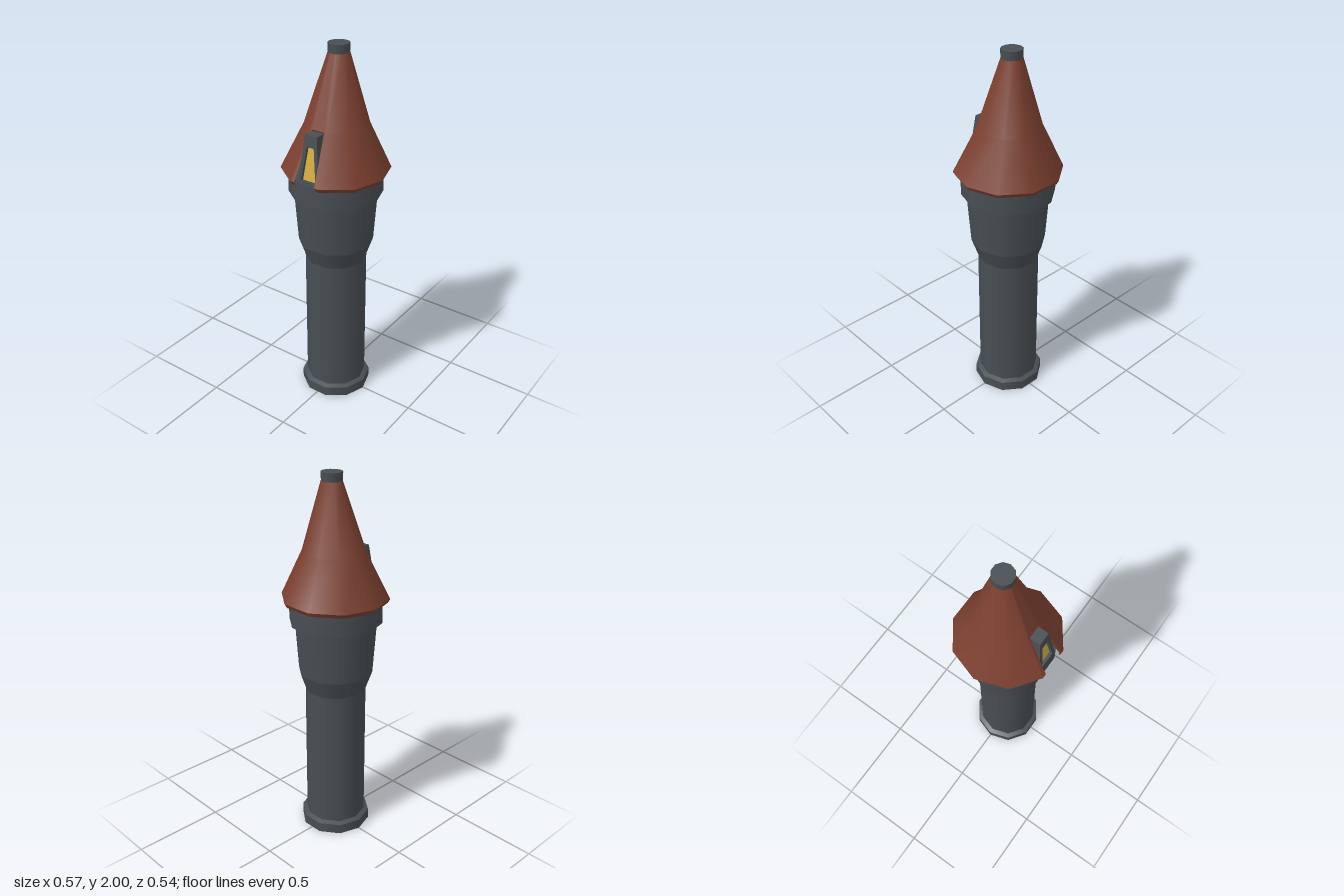
import * as THREE from 'three';

const SIDES = 10;

export function createModel() {
  const mat = (name, color, side = THREE.FrontSide) => {
    const m = new THREE.MeshStandardMaterial({ color, side });
    m.name = name;
    return m;
  };
  const stone = mat('dark stone', 0x484e53, THREE.DoubleSide);
  const tiles = mat('red roof tiles', 0x7c4030, THREE.DoubleSide);
  const glow = mat('yellow window', 0xd6ae40);

  const tower = new THREE.Group();
  tower.name = 'tower';
  const add = (parent, name, geometry, material) => {
    const mesh = new THREE.Mesh(geometry, material);
    mesh.name = name;
    parent.add(mesh);
    return mesh;
  };

  // Ten-sided ring of wall between two heights, with a corner on the x axis
  const band = (name, y0, r0, y1, r1, z = 0, open = true) => {
    const g = new THREE.CylinderGeometry(r1, r0, y1 - y0, SIDES, 1, open, Math.PI / 2);
    g.translate(0, (y0 + y1) / 2, z);
    return add(tower, name, g, stone);
  };
  // Flat ten-sided ring or disc
  const disc = (name, y, inner, outer, up) => {
    const g = new THREE.RingGeometry(inner, outer, SIDES, 1);
    g.rotateX(up ? -Math.PI / 2 : Math.PI / 2).translate(0, y, 0);
    return add(tower, name, g, stone);
  };

  // Foot
  band('footRing', 0, 0.192, 0.055, 0.192);
  band('footChamfer', 0.055, 0.192, 0.065, 0.165);
  band('footInnerWall', 0, 0.168, 0.05, 0.168);
  disc('footRim', 0, 0.168, 0.192, false);
  disc('footFloor', 0.05, 0, 0.168, false);

  // Shaft, flare and upper storey
  band('shaft', 0.06, 0.166, 0.84, 0.165);
  band('flare', 0.84, 0.165, 0.94, 0.2);
  band('upperStorey', 0.94, 0.2, 1.23, 0.22);
  disc('parapetUnderside', 1.222, 0.21, 0.247, false);
  band('parapet', 1.222, 0.247, 1.345, 0.247);
  disc('parapetTop', 1.345, 0, 0.247, true);

  // Chimney cap at the tip, set slightly back
  band('tipCap', 1.93, 0.053, 2, 0.056, -0.024, false);

  // Roof rings: height, radius, z shift, half width of the dormer notch
  const brim = [[1.335, 0.272, 0, 0.063], [1.357, 0.285, 0, 0.063]];
  const slope = [
    [1.357, 0.285, 0, 0.063], [1.6, 0.166, -0.009, 0.035], [1.955, 0.055, -0.024, 0.011],
  ];
  // Ring points run round the decagon, with two extra on the front edge for the notch
  const roofSurface = (rings, notchTiers) => {
    const pos = [], index = [], n = SIDES + 2;
    for (const [y, r, dz, half] of rings) {
      for (let k = 0; k < SIDES; k++) {
        const a = (k * Math.PI * 2) / SIDES;
        pos.push(r * Math.cos(a), y, r * Math.sin(a) + dz);
        if (k === 2) {
          const z = r * Math.cos(Math.PI / SIDES) + dz;
          pos.push(half, y, z, -half, y, z);
        }
      }
    }
    for (let t = 0; t < rings.length - 1; t++) {
      for (let k = 0; k < n; k++) {
        if (k === 3 && t < notchTiers) continue;
        const a = t * n + k, b = t * n + ((k + 1) % n);
        index.push(a, a + n, b, b, a + n, b + n);
      }
    }
    const g = new THREE.BufferGeometry();
    g.setAttribute('position', new THREE.Float32BufferAttribute(pos, 3));
    g.setIndex(index);
    g.computeVertexNormals();
    return g;
  };
  add(tower, 'roof', roofSurface(slope, 1), tiles);
  add(tower, 'roofBrim', roofSurface(brim, 1), tiles);

  // Dormer: leaning tapered frame with a recessed window
  const dormer = new THREE.Group();
  dormer.name = 'dormer';
  tower.add(dormer);
  const trapezoid = (y0, w0, y1, w1, Type = THREE.Shape) => new Type([
    new THREE.Vector2(-w0, y0), new THREE.Vector2(w0, y0),
    new THREE.Vector2(w1, y1), new THREE.Vector2(-w1, y1),
  ]);
  const extrudeLeaning = (shape, depth, front) => {
    const g = new THREE.ExtrudeGeometry(shape, { depth, bevelEnabled: false });
    const p = g.attributes.position;
    for (let i = 0; i < p.count; i++) {
      p.setZ(i, p.getZ(i) - depth + front - (p.getY(i) - 1.34) * 0.12);
    }
    g.computeVertexNormals();
    return g;
  };
  const frame = trapezoid(1.338, 0.064, 1.595, 0.035);
  frame.holes.push(trapezoid(1.357, 0.044, 1.535, 0.021, THREE.Path));
  add(dormer, 'dormerFrame', extrudeLeaning(frame, 0.06, 0.238), stone);
  add(dormer, 'dormerWindow', extrudeLeaning(trapezoid(1.35, 0.047, 1.54, 0.023), 0.008, 0.222), glow);

  return tower;
}
